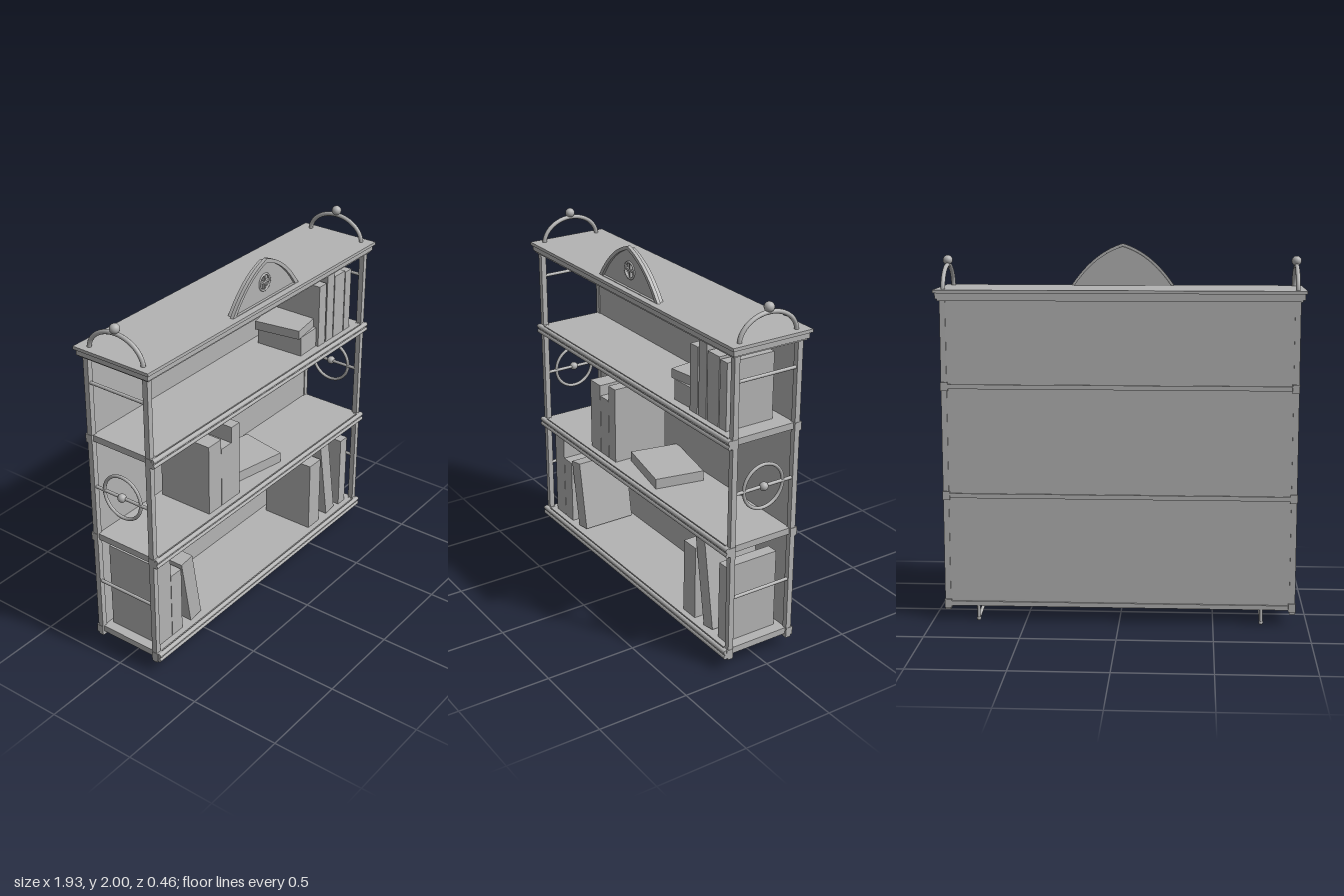
import * as THREE from 'three';

export function createModel() {
  const root = new THREE.Group();
  root.name = 'bookcase';
  const grey = new THREE.MeshStandardMaterial({ color: 0xb3b3b3 });
  grey.name = 'plain grey';

  const add = (name, geo, x = 0, y = 0, z = 0) => {
    const m = new THREE.Mesh(geo, grey);
    m.name = name;
    m.position.set(x, y, z);
    root.add(m);
    return m;
  };
  // box given by its limits on each axis
  const block = (name, x0, x1, y0, y1, z0, z1) =>
    add(name, new THREE.BoxGeometry(x1 - x0, y1 - y0, z1 - z0), (x0 + x1) / 2, (y0 + y1) / 2, (z0 + z1) / 2);
  // round bar between two points
  const rod = (name, a, b, r) => {
    const p = new THREE.Vector3(...a), q = new THREE.Vector3(...b);
    const m = add(name, new THREE.CylinderGeometry(r, r, p.distanceTo(q), 14));
    m.position.copy(p).add(q).multiplyScalar(0.5);
    m.quaternion.setFromUnitVectors(new THREE.Vector3(0, 1, 0), q.sub(p).normalize());
    return m;
  };
  const extrude = (name, shape, depth, z) =>
    add(name, new THREE.ExtrudeGeometry(shape, { depth, bevelEnabled: false, curveSegments: 20 }), 0, 0, z);

  // Back panel and shelves with rounded front rails
  block('backPanel', -0.91, 0.91, 0.08, 1.73, -0.195, -0.175);
  for (const y of [0.095, 0.685, 1.268]) {
    block('shelf', -0.925, 0.925, y - 0.013, y + 0.022, -0.195, 0.2);
    block('railWeb', -0.935, 0.935, y - 0.012, y + 0.012, 0.195, 0.22);
    for (const s of [-1, 1])
      rod('railBead', [-0.935, y + s * 0.014, 0.215], [0.935, y + s * 0.014, 0.215], 0.012);
    block('backStrip', -0.93, 0.93, y - 0.012, y + 0.012, -0.205, -0.19);
    for (const sx of [-1, 1]) for (const z of [-0.19, 0.19])
      add('postCollar', new THREE.BoxGeometry(0.038, 0.046, 0.04), sx * 0.918, y, z);
  }

  // Cornice in stepped layers
  block('corniceLower', -0.945, 0.945, 1.718, 1.73, -0.215, 0.215);
  block('corniceMiddle', -0.955, 0.955, 1.728, 1.758, -0.222, 0.222);
  block('corniceTop', -0.965, 0.965, 1.758, 1.775, -0.232, 0.232);

  // End frames, mirrored left and right
  for (const s of [-1, 1]) {
    const x = s * 0.92;
    for (const z of [-0.185, 0.185])
      add('post', new THREE.BoxGeometry(0.03, 1.67, 0.03), x, 0.895, z);
    for (const y of [0.41, 0.99, 1.58])
      rod('sideRail', [x, y, -0.18], [x, y, 0.18], 0.009);

    // ring with a round hub
    add('sideRing', new THREE.TorusGeometry(0.118, 0.009, 10, 48), x, 0.99, 0).rotation.y = Math.PI / 2;
    add('ringHub', new THREE.SphereGeometry(0.023, 20, 14), s * 0.924, 0.99, 0);

    // hoop and ball on the top
    const arc = [];
    for (let i = 0; i <= 16; i++) {
      const a = (i / 16) * Math.PI;
      arc.push(new THREE.Vector3(0, 0.128 * Math.sin(a), 0.168 * Math.cos(a)));
    }
    add('topHoop', new THREE.TubeGeometry(new THREE.CatmullRomCurve3(arc), 40, 0.012, 10), x, 1.765, 0);
    add('hoopBall', new THREE.SphereGeometry(0.026, 20, 14), x, 1.918, 0);

    // bent wire support under the base
    const fx = s * 0.755;
    rod('supportArm', [fx, 0.06, 0.16], [fx, 0.014, -0.195], 0.009);
    rod('supportUpright', [fx, 0.012, -0.197], [fx, 0.085, -0.197], 0.009);
    add('supportCorner', new THREE.SphereGeometry(0.012, 12, 8), fx, 0.012, -0.197);
  }

  // Pointed pediment: plate, facing with a round window, raised rim
  const arch = (Kind, w, y0, y1) => {
    const p = new Kind();
    const h = y1 - y0;
    p.moveTo(-w, y0);
    p.lineTo(w, y0);
    p.quadraticCurveTo(w * 0.57, y0 + h * 0.79, 0, y1);
    p.quadraticCurveTo(-w * 0.57, y0 + h * 0.79, -w, y0);
    return p;
  };
  extrude('pedimentBack', arch(THREE.Shape, 0.265, 1.772, 1.985), 0.017, 0.153);
  const facing = arch(THREE.Shape, 0.265, 1.772, 1.985);
  const hole = new THREE.Path();
  hole.absarc(0, 1.87, 0.044, 0, Math.PI * 2, true);
  facing.holes.push(hole);
  extrude('pedimentFace', facing, 0.013, 0.17);
  const rim = arch(THREE.Shape, 0.28, 1.772, 2.0);
  rim.holes.push(arch(THREE.Path, 0.25, 1.778, 1.98));
  extrude('pedimentRim', rim, 0.019, 0.178);
  add('windowRing', new THREE.TorusGeometry(0.043, 0.006, 8, 36), 0, 1.87, 0.183);
  block('windowBar', -0.042, 0.042, 1.865, 1.875, 0.168, 0.185);
  block('windowBar', -0.005, 0.005, 1.828, 1.912, 0.168, 0.185);

  // Upright books: x range, bottom, top, back z
  const upright = [
    [0.525, 0.59, 1.288, 1.645, -0.11], [0.6, 0.665, 1.288, 1.69, -0.115],
    [0.672, 0.768, 1.288, 1.655, -0.105], [0.775, 0.832, 1.288, 1.645, -0.11],
    [-0.445, -0.342, 0.705, 1.11, -0.15], [-0.339, -0.257, 0.705, 1.05, -0.14],
    [-0.254, -0.187, 0.705, 1.14, -0.155],
    [-0.87, -0.77, 0.115, 0.61, -0.155], [-0.767, -0.685, 0.115, 0.495, -0.14],
    [0.485, 0.59, 0.115, 0.535, -0.14], [0.8, 0.865, 0.115, 0.555, -0.14]
  ];
  for (const [x0, x1, y0, y1, z0] of upright) block('uprightBook', x0, x1, y0, y1, z0, 0.168);

  // Leaning books: x, y, width, height
  for (const [x, y, w, h] of [[-0.602, 0.323, 0.088, 0.4], [0.67, 0.367, 0.08, 0.495]])
    add('leaningBook', new THREE.BoxGeometry(w, h, 0.31), x, y, 0.012).rotation.z = 0.165;

  // Books lying flat, slightly turned
  add('flatBook', new THREE.BoxGeometry(0.365, 0.058, 0.275), 0.05, 0.735, -0.012).rotation.y = -0.197;
  add('flatBookUpper', new THREE.BoxGeometry(0.36, 0.05, 0.265), 0.508, 1.425, 0.002).rotation.y = 0.152;
  add('flatBookLower', new THREE.BoxGeometry(0.33, 0.112, 0.28), 0.535, 1.345, 0.012).rotation.y = 0.035;

  return root;
}
